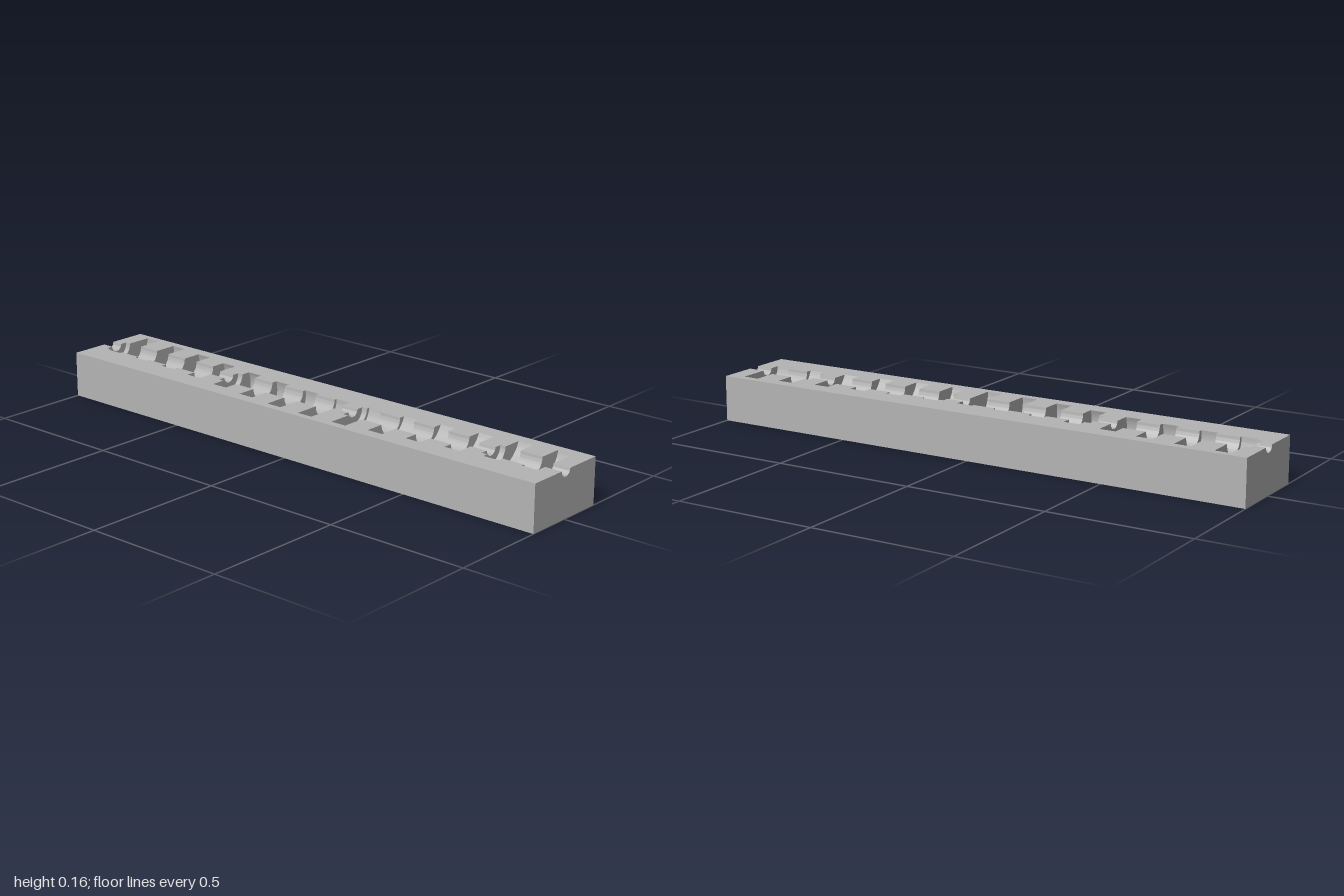
import * as THREE from 'three';
import { toCreasedNormals } from 'three/addons/utils/BufferGeometryUtils.js';

const HEIGHT = 0.16, HALF_DEPTH = 0.158, ARC_STEPS = 40;
const CAM_COUNT = 14, CAM_PITCH = 0.14, CAM_HALF = 0.029;
const CAM_RADIUS = 0.096, CAM_OFFSET = 0.039;
const SHAFT_RADIUS = 0.047, ROD_RADIUS = 0.022, COLLAR = 0.02;

// Cross-section (z, y): a rectangle whose top edge is cut by a circle
function section(radius, cz = 0, cy = HEIGHT) {
  const start = Math.asin((HEIGHT - cy) / radius);
  const loop = [new THREE.Vector2(HALF_DEPTH, HEIGHT)];
  for (let i = 0; i <= ARC_STEPS; i++) {
    const a = start - (Math.PI + 2 * start) * (i / ARC_STEPS);
    loop.push(new THREE.Vector2(cz + radius * Math.cos(a), cy + radius * Math.sin(a)));
  }
  loop.push(
    new THREE.Vector2(-HALF_DEPTH, HEIGHT),
    new THREE.Vector2(-HALF_DEPTH, 0),
    new THREE.Vector2(HALF_DEPTH, 0)
  );
  return loop;
}

// Stations along x: rod ends, shaft groups of four, eccentric cam pockets
function buildStations() {
  const stations = [];
  let x = -1;
  const runTo = (end, loop) => {
    stations.push({ x, loop }, { x: end, loop });
    x = end;
  };
  const rod = section(ROD_RADIUS), shaft = section(SHAFT_RADIUS);
  for (let i = 0; i < CAM_COUNT; i++) {
    const cx = (i - (CAM_COUNT - 1) / 2) * CAM_PITCH;
    if (i % 4 === 0) runTo(cx - CAM_HALF - COLLAR, rod);
    runTo(cx - CAM_HALF, shaft);
    // Each pocket turns one step further round the shaft
    const turn = (i / CAM_COUNT) * Math.PI * 2;
    const cam = section(CAM_RADIUS, -CAM_OFFSET * Math.cos(turn), HEIGHT - CAM_OFFSET * Math.sin(turn));
    runTo(cx + CAM_HALF, cam);
  }
  runTo(1, rod);
  return stations;
}

// Skin the stations, including the upright walls where the section changes
function loft(stations) {
  const positions = [];
  const ab = new THREE.Vector3(), ac = new THREE.Vector3();
  const triangle = (a, b, c, facingX = 0) => {
    const n = ab.subVectors(b, a).cross(ac.subVectors(c, a));
    if (n.length() < 1e-9) return;
    const order = facingX * n.x < 0 ? [a, c, b] : [a, b, c];
    for (const p of order) positions.push(p.x, p.y, p.z);
  };
  const point = (s, i) => {
    const p = s.loop[i % s.loop.length];
    return new THREE.Vector3(s.x, p.y, p.x);
  };

  for (let k = 0; k < stations.length - 1; k++) {
    const s = stations[k], t = stations[k + 1];
    for (let i = 0; i < s.loop.length; i++) {
      const p0 = point(s, i), q0 = point(s, i + 1);
      const p1 = point(t, i), q1 = point(t, i + 1);
      triangle(p0, p1, q1);
      triangle(p0, q1, q0);
    }
  }

  // End faces
  for (const s of [stations[0], stations[stations.length - 1]]) {
    for (const [a, b, c] of THREE.ShapeUtils.triangulateShape(s.loop.slice(), [])) {
      triangle(point(s, a), point(s, b), point(s, c), Math.sign(s.x));
    }
  }

  const geometry = new THREE.BufferGeometry();
  geometry.setAttribute('position', new THREE.Float32BufferAttribute(positions, 3));
  return toCreasedNormals(geometry, Math.PI / 6);
}

export function createModel() {
  const grey = new THREE.MeshStandardMaterial({ color: 0xb4b4b4 });
  grey.name = 'grey';

  const block = new THREE.Mesh(loft(buildStations()), grey);
  block.name = 'camshaftMouldBlock';

  const model = new THREE.Group();
  model.name = 'camshaftMould';
  model.add(block);
  return model;
}
